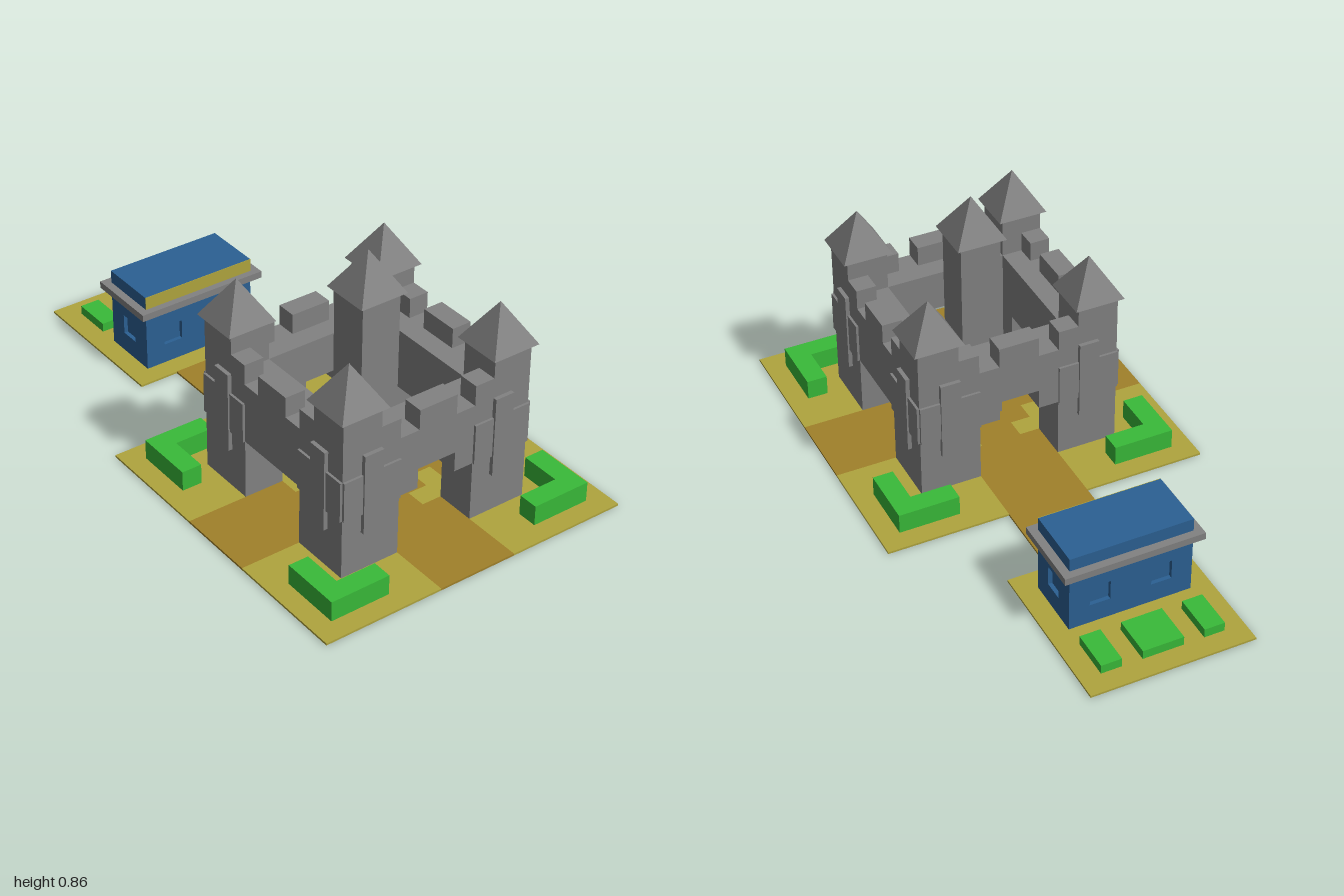
import * as THREE from 'three';

const material = (name, color) => {
  const m = new THREE.MeshStandardMaterial({ color, side: THREE.DoubleSide });
  m.name = name;
  return m;
};

// Drop the downward faces at the lowest level, leaving a hollow shell
function openBottom(geometry) {
  const src = geometry.index ? geometry.toNonIndexed() : geometry;
  src.computeBoundingBox();
  const limit = src.boundingBox.min.y + 1e-4;
  const p = src.attributes.position;
  const kept = [];
  for (let i = 0; i < p.count; i += 3) {
    if (p.getY(i) < limit && p.getY(i + 1) < limit && p.getY(i + 2) < limit) continue;
    for (let k = i; k < i + 3; k++) kept.push(p.getX(k), p.getY(k), p.getZ(k));
  }
  const out = new THREE.BufferGeometry();
  out.setAttribute('position', new THREE.Float32BufferAttribute(kept, 3));
  out.computeVertexNormals();
  return out;
}

const toPath = (pts) => pts.map(([x, y]) => new THREE.Vector2(x, y));
const mirror = (pts, sx, sz) => pts.map(([x, z]) => [x * sx, z * sz]);
const rect = (x0, x1, z0, z1) => [[x0, z0], [x1, z0], [x1, z1], [x0, z1]];

// Plan outline in x and z, raised from y0 to y1
function prism(pts, y0, y1, holes = []) {
  const shape = new THREE.Shape(toPath(pts));
  for (const h of holes) shape.holes.push(new THREE.Path(toPath(h)));
  return new THREE.ExtrudeGeometry(shape, { depth: y1 - y0, bevelEnabled: false })
    .rotateX(Math.PI / 2).translate(0, y1, 0);
}

function box(x0, x1, y0, y1, z0, z1) {
  return new THREE.BoxGeometry(x1 - x0, y1 - y0, z1 - z0)
    .translate((x0 + x1) / 2, (y0 + y1) / 2, (z0 + z1) / 2);
}

function add(parent, name, geometry, mat) {
  const mesh = new THREE.Mesh(geometry, mat);
  mesh.name = name;
  parent.add(mesh);
  return mesh;
}

function group(parent, name) {
  const g = new THREE.Group();
  g.name = name;
  parent.add(g);
  return g;
}

export function createModel() {
  const root = new THREE.Group();
  root.name = 'castleGrounds';
  root.scale.setScalar(1 / 14);
  const stone = material('stone', 0x828282);
  const lawn = material('lawn', 0xb0a53e);
  const dirt = material('dirt', 0xa0812a);
  const blue = material('blue', 0x2b6093);
  const green = material('green', 0x39ba39);
  const G = 0.1; // ground thickness

  const castle = group(root, 'castle');
  castle.position.z = 6;

  const pyramid = (h) => {
    const geo = new THREE.ConeGeometry(1.23 * Math.SQRT2, h, 4, 1).toNonIndexed();
    geo.rotateY(Math.PI / 4);
    geo.computeVertexNormals();
    return geo;
  };

  // Path: stepped cross around the keep, plus the arm to the house
  const quarter = [[8, 2], [3, 2], [3, 1], [2, 1], [2, 2], [1, 2], [1, 3], [2, 3], [2, 8]];
  const back = [...quarter].reverse();
  const cross = [...quarter, ...mirror(back, -1, 1), ...mirror(quarter, -1, -1), ...mirror(back, 1, -1)];
  add(castle, 'crossPath', prism(cross, 0, G, [rect(-1, 1, -1, 1)]), dirt);
  add(castle, 'backPath', box(-2, 2, 0, G, -12, -8), dirt);

  // Four corners: lawn, hedge and tower
  const hedge = [[7, 4], [7, 7], [4, 7], [4, 6], [6, 6], [6, 4]];
  const outerLawn = [[5, 2], [8, 2], [8, 8], [2, 8], [2, 5], [5, 5]];
  const innerLawn = [[2, 1], [3, 1], [3, 3], [1, 3], [1, 2], [2, 2]];
  const towerBase = [[3, 2], [5, 2], [5, 5], [2, 5], [2, 3], [3, 3]];
  for (const sx of [1, -1]) for (const sz of [1, -1]) {
    const corner = group(castle, 'corner');
    add(corner, 'outerLawn', prism(mirror(outerLawn, sx, sz), 0, G, [mirror(hedge, sx, sz)]), lawn);
    add(corner, 'innerLawn', prism(mirror(innerLawn, sx, sz), 0, G), lawn);
    add(corner, 'hedge', openBottom(prism(mirror(hedge, sx, sz), 0, 1.1)), green);
    add(corner, 'towerBase', openBottom(prism(mirror(towerBase, sx, sz), 0, 6.1)), stone);
    add(corner, 'towerTop', box(4 * sx - 1, 4 * sx + 1, 6.1, 8.1, 4 * sz - 1, 4 * sz + 1), stone);
    add(corner, 'towerRoof', pyramid(2), stone).position.set(4 * sx, 9.1, 4 * sz);
    // Raised cross of panels on both outer faces
    const fx = 3.5 * sx, fz = 3.5 * sz;
    const px = 5 * sx, pz = 5 * sz;
    add(corner, 'widePanelZ', box(fx - 1.5, fx + 1.5, 3.1, 5.1, pz - 0.12, pz + 0.12), stone);
    add(corner, 'tallPanelZ', box(fx - 0.5, fx + 0.5, 2.1, 6.1, pz - 0.2, pz + 0.2), stone);
    add(corner, 'widePanelX', box(px - 0.12, px + 0.12, 3.1, 5.1, fz - 1.5, fz + 1.5), stone);
    add(corner, 'tallPanelX', box(px - 0.2, px + 0.2, 2.1, 6.1, fz - 0.5, fz + 0.5), stone);
  }

  // Four walls with merlons; front and back gates have a stepped arch
  for (let i = 0; i < 4; i++) {
    const wall = group(castle, 'wall');
    wall.rotation.y = i * Math.PI / 2;
    const profile = i % 2 === 0
      ? [[-2, 3.1], [-1, 3.1], [-1, 4.1], [1, 4.1], [1, 3.1], [2, 3.1], [2, 6.1], [-2, 6.1]]
      : [[-2, 3.1], [2, 3.1], [2, 6.1], [-2, 6.1]];
    const span = new THREE.ExtrudeGeometry(new THREE.Shape(toPath(profile)), { depth: 2, bevelEnabled: false });
    add(wall, 'gateSpan', span.translate(0, 0, 3), stone);
    for (const [x0, x1] of [[-3, -2], [-1, 1], [2, 3]]) {
      add(wall, 'merlon', box(x0, x1, 6.1, 7.1, 4, 5), stone);
    }
  }

  // Central keep
  add(castle, 'keep', openBottom(box(-1, 1, 0, 10.1, -1, 1)), stone);
  add(castle, 'keepRoof', pyramid(2), stone).position.set(0, 11.1, 0);

  // Back garden with its low hedges
  const beds = [rect(-3, -2, -13, -11), rect(-1, 1, -13, -11), rect(2, 3, -13, -11)];
  add(root, 'backLawn', prism(rect(-4, 4, -14, -6), 0, G, [...beds, rect(-3, 3, -10, -7)]), lawn);
  for (const bed of beds) add(root, 'lowHedge', openBottom(prism(bed, 0, 0.55)), green);

  // House: four walls with recessed windows
  const house = group(root, 'house');
  house.position.z = -8.5;
  for (let i = 0; i < 4; i++) {
    const long = i % 2 === 0;
    const half = long ? 3 : 1.5, out = long ? 1.5 : 3;
    const side = group(house, 'houseWall');
    side.rotation.y = i * Math.PI / 2;
    const shape = new THREE.Shape(toPath(rect(-half, half, 0, 3.1)));
    for (const x of long ? [-1.5, 1.5] : [0]) {
      shape.holes.push(new THREE.Path(toPath(rect(x - 0.5, x + 0.5, 1.1, 2.1))));
      const pane = new THREE.PlaneGeometry(1, 1).translate(x, 1.6, out - 0.2);
      add(side, 'windowPane', pane, blue);
    }
    const wall = new THREE.ExtrudeGeometry(shape, { depth: 0.2, bevelEnabled: false });
    add(side, 'wallPanel', wall.translate(0, 0, out - 0.2), blue);
  }
  add(house, 'eaves', box(-3.4, 3.4, 3.1, 3.45, -1.88, 1.88), stone);
  add(house, 'roofBlock', box(-3, 3, 3.45, 4.1, -1.5, 1.5), blue);
  add(house, 'roofFrontPlate', box(-3, 3, 3.45, 4.1, 1.5, 1.53), lawn);

  return root;
}
